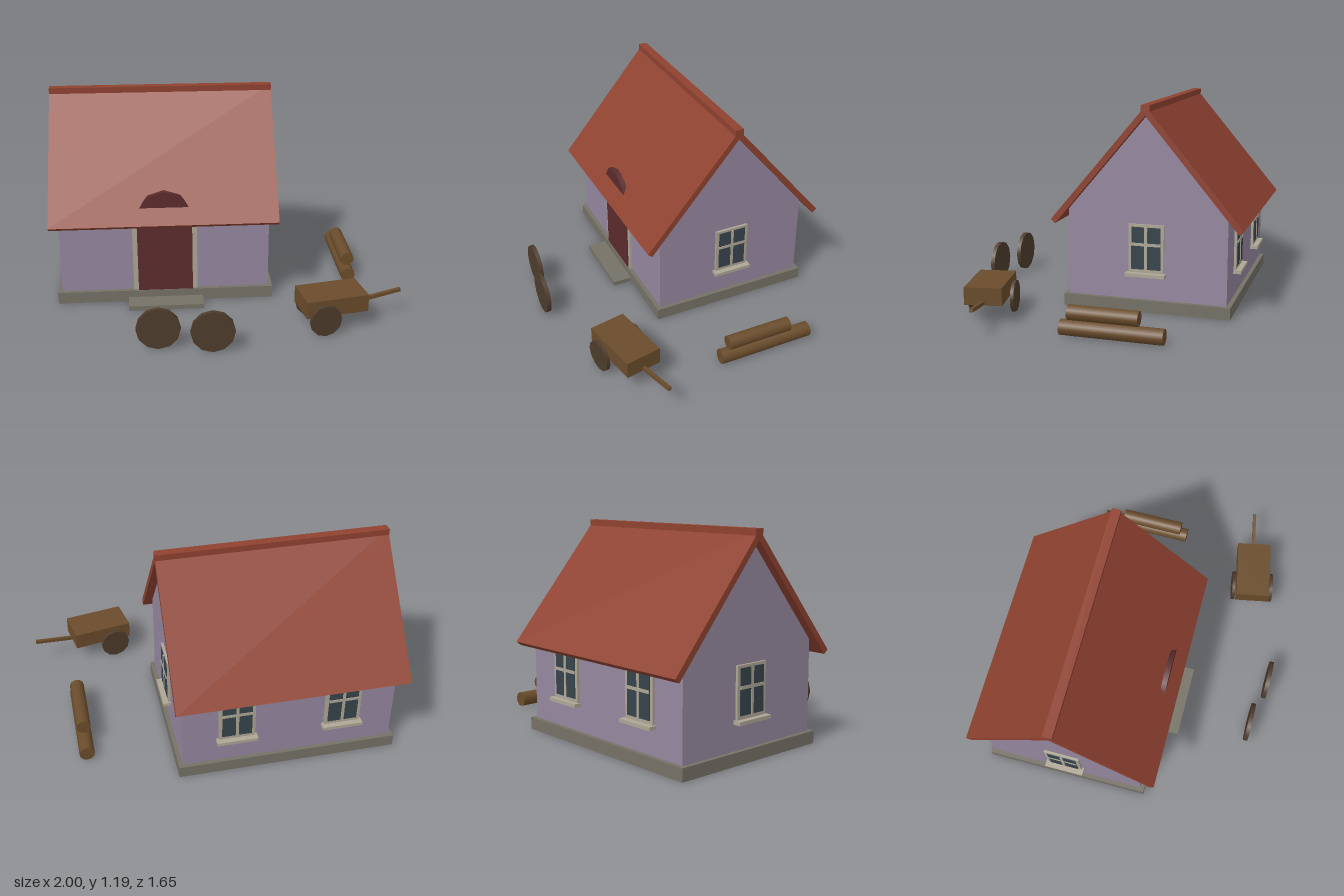
import * as THREE from 'three';

const mat = (name, color) => {
  const m = new THREE.MeshStandardMaterial({ color });
  m.name = name;
  return m;
};

export function createModel() {
  const plaster = mat('lilac plaster', 0x95879f);
  const tile = mat('red tile', 0x8f4230);
  const stone = mat('grey stone', 0x757166);
  const trim = mat('pale trim', 0xaea796);
  const doorRed = mat('dark red door', 0x5c2c2d);
  const glass = mat('window glass', 0x36444b);
  const wood = mat('brown wood', 0x6a4c2b);
  const wheelWood = mat('dark wheel wood', 0x4d3c2b);

  const root = new THREE.Group();
  root.name = 'cottageYard';

  const add = (parent, name, geo, material, x, y, z) => {
    const mesh = new THREE.Mesh(geo, material);
    mesh.name = name;
    mesh.position.set(x, y, z);
    parent.add(mesh);
    return mesh;
  };
  const box = (parent, name, material, w, h, d, x, y, z) =>
    add(parent, name, new THREE.BoxGeometry(w, h, d), material, x, y, z);
  // disc or log whose axis runs along z
  const round = (parent, name, material, r, len, sides, x, y, z) =>
    add(parent, name, new THREE.CylinderGeometry(r, r, len, sides).rotateX(Math.PI / 2), material, x, y, z);
  // symmetric gable profile, extruded along x and centred
  const gable = (points, length) => {
    const shape = new THREE.Shape(points.map(([a, b]) => new THREE.Vector2(a, b)));
    return new THREE.ExtrudeGeometry(shape, { depth: length, bevelEnabled: false })
      .translate(0, 0, -length / 2).rotateY(Math.PI / 2);
  };

  // ---- House ----
  const house = new THREE.Group();
  house.name = 'house';
  house.position.set(-0.34, 0, -0.26);
  root.add(house);

  box(house, 'foundation', stone, 1.27, 0.07, 0.98, 0, 0.035, 0);
  add(house, 'walls', gable([[-0.465, 0.07], [0.465, 0.07], [0.465, 0.575], [0, 1.13], [-0.465, 0.575]], 1.22), plaster, 0, 0, 0);
  add(house, 'roof', gable([[-0.56, 0.515], [-0.534, 0.493], [0, 1.128], [0.534, 0.493], [0.56, 0.515], [0, 1.18]], 1.32), tile, 0, 0, 0);
  box(house, 'ridgeCap', tile, 1.32, 0.035, 0.052, 0, 1.1685, 0);

  // door with a round head that breaks through the eave
  box(house, 'door', doorRed, 0.32, 0.465, 0.026, 0, 0.3025, 0.473);
  round(house, 'doorArch', doorRed, 0.16, 0.03, 10, 0, 0.535, 0.475);
  for (const s of [-1, 1]) box(house, 'doorJamb', trim, 0.03, 0.48, 0.022, s * 0.173, 0.31, 0.468);
  box(house, 'doorStep', stone, 0.44, 0.027, 0.125, 0, 0.0135, 0.5425);

  // window facing local +z, placed on a wall by a turn around y
  const addWindow = (x, z, turn) => {
    const w = new THREE.Group();
    w.name = 'window';
    w.position.set(x, 0, z);
    w.rotation.y = turn;
    box(w, 'windowFrame', trim, 0.207, 0.285, 0.014, 0, 0.3675, 0.007);
    box(w, 'windowGlass', glass, 0.17, 0.245, 0.005, 0, 0.3725, 0.0155);
    box(w, 'verticalBar', trim, 0.017, 0.245, 0.006, 0, 0.3725, 0.018);
    box(w, 'crossBar', trim, 0.17, 0.017, 0.006, 0, 0.395, 0.0185);
    box(w, 'windowSill', trim, 0.232, 0.02, 0.045, 0, 0.22, 0.0225);
    house.add(w);
  };
  for (const s of [-1, 1]) {
    addWindow(s * 0.61, 0, s * Math.PI / 2);
    addWindow(s * 0.305, -0.465, Math.PI);
  }

  // ---- Log pile ----
  round(root, 'lowerLog', wood, 0.044, 0.57, 12, 0.785, 0.044, -0.215);
  round(root, 'upperLog', wood, 0.042, 0.39, 12, 0.785, 0.129, -0.17);

  // ---- Spare wheels ----
  round(root, 'spareWheel', wheelWood, 0.122, 0.025, 12, -0.39, 0.122, 0.762);
  round(root, 'spareWheel', wheelWood, 0.122, 0.025, 12, -0.097, 0.122, 0.813);

  // ---- Hand cart ----
  const cart = new THREE.Group();
  cart.name = 'cart';
  cart.position.set(0.586, 0, 0.563);
  cart.rotation.y = 0.19;
  root.add(cart);
  box(cart, 'cartBody', wood, 0.362, 0.1, 0.212, 0, 0.159, 0);
  for (const s of [-1, 1]) round(cart, 'cartWheel', wheelWood, 0.092, 0.02, 12, -0.075, 0.092, s * 0.121);
  const handle = box(cart, 'cartHandle', wood, 0.25, 0.02, 0.02, 0.297, 0.141, 0);
  handle.rotation.z = 0.14;

  return root;
}
